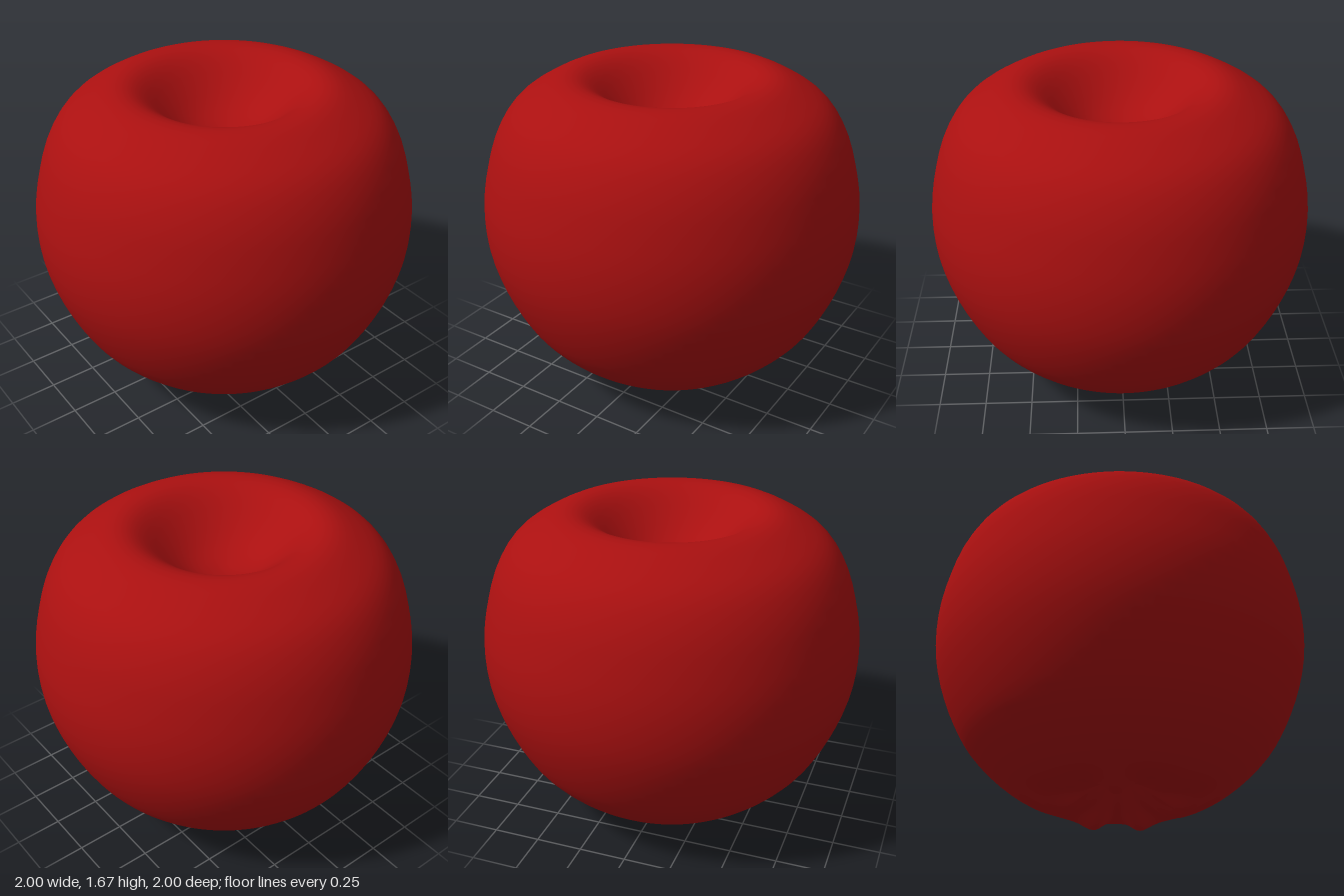
import * as THREE from 'three';
import { mergeVertices } from 'three/addons/utils/BufferGeometryUtils.js';

// Half outline of the fruit: [radius, height], from the base dimple up to the stem hollow
const outline = [
  [0, 0.2], [0.06, 0.18], [0.13, 0.13], [0.2, 0.085], [0.28, 0.05], [0.36, 0.038], [0.44, 0.058],
  [0.52, 0.092], [0.61, 0.15], [0.71, 0.235], [0.8, 0.335], [0.86, 0.43], [0.915, 0.545], [0.96, 0.67],
  [0.99, 0.8], [1, 0.94], [0.99, 1.08], [0.96, 1.22], [0.92, 1.35], [0.86, 1.465], [0.79, 1.545],
  [0.7, 1.605], [0.6, 1.655], [0.52, 1.67], [0.45, 1.655], [0.38, 1.61], [0.3, 1.54], [0.2, 1.465],
  [0.1, 1.425], [0, 1.41],
];

// Puckered lobes round the base: [angle in degrees from +x towards +z, strength]
const lobes = [[-18, 1], [25, 1], [65, 0.6], [105, 1], [145, 0.4], [190, 1], [228, 0.3], [262, 1], [302, 0.4]];

function pucker(angle) {
  let sum = 0;
  for (const [deg, strength] of lobes) {
    const d = angle - THREE.MathUtils.degToRad(deg);
    const gap = Math.atan2(Math.sin(d), Math.cos(d)) / 0.24;
    sum += strength * Math.exp(-(gap ** 2));
  }
  return Math.min(sum, 1);
}

export function createModel() {
  const group = new THREE.Group();
  group.name = 'apple';

  const curve = new THREE.SplineCurve(outline.map(([r, y]) => new THREE.Vector2(r, y)));
  const points = curve.getPoints((outline.length - 1) * 2);
  points.forEach((p) => { p.x = Math.max(p.x, 0); });
  points[0].x = points[points.length - 1].x = 0;
  let geometry = new THREE.LatheGeometry(points, 120);

  // Press the lobes and creases into the base
  const pos = geometry.attributes.position;
  for (let i = 0; i < pos.count; i++) {
    const x = pos.getX(i), y = pos.getY(i), z = pos.getZ(i);
    const r = Math.hypot(x, z);
    if (y > 0.5 || r > 0.5) continue;
    const ring = Math.exp(-(((r - 0.32) / 0.11) ** 2));
    const lobe = pucker(Math.atan2(z, x));
    pos.setY(i, Math.max(0, y + ring * (0.04 - 0.085 * lobe)));
  }

  // Weld the seam for smooth shading all round
  geometry.deleteAttribute('uv');
  geometry.deleteAttribute('normal');
  geometry = mergeVertices(geometry, 1e-4);
  geometry.computeVertexNormals();

  const skin = new THREE.MeshStandardMaterial({ color: 0xaa1010 });
  const body = new THREE.Mesh(geometry, skin);
  body.name = 'fruitBody';
  group.add(body);
  return group;
}
